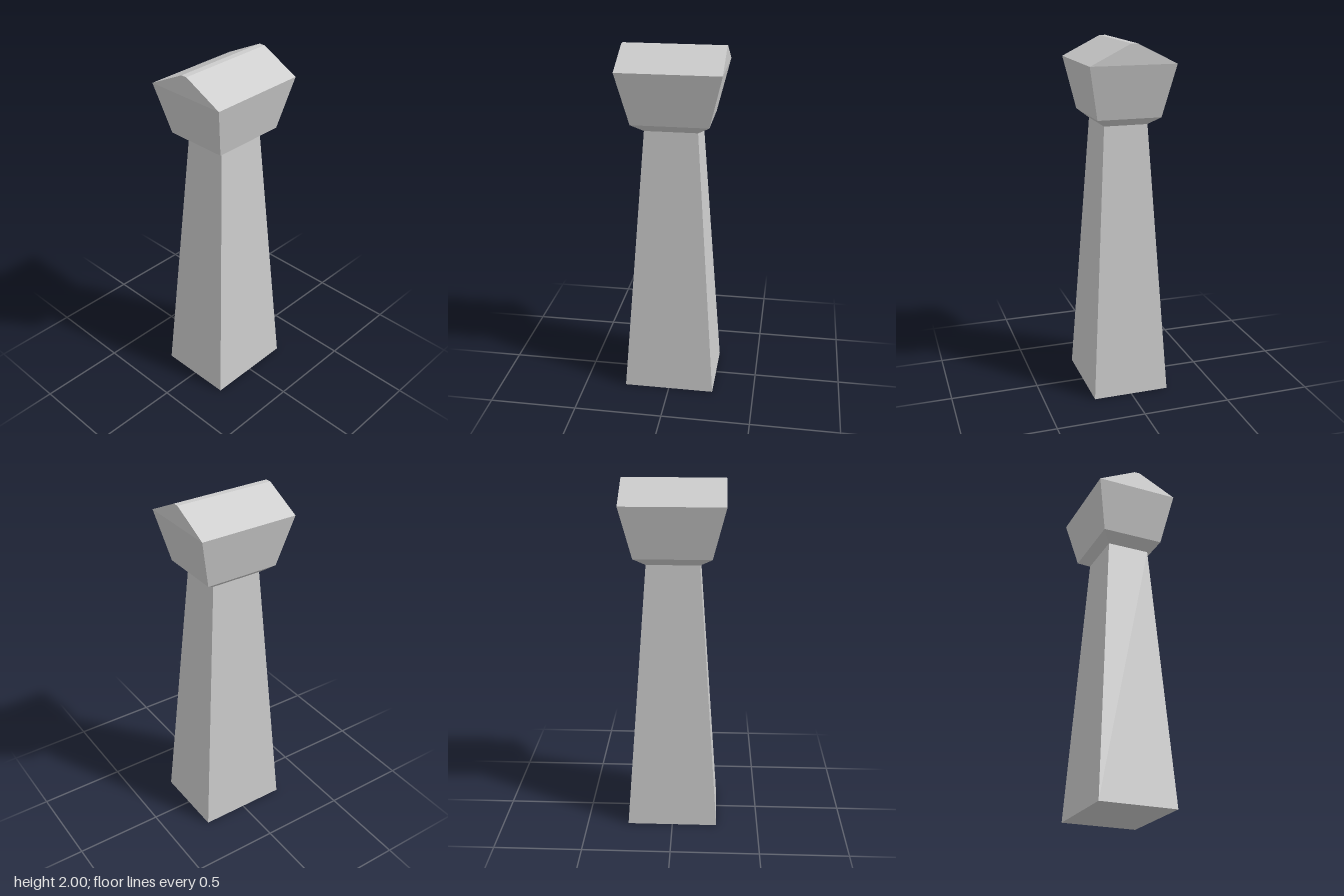
import * as THREE from 'three';

const material = new THREE.MeshStandardMaterial({ color: 0xcccccc, flatShading: true });

// Rectangular cross-sections from the ground up: [y, half width, half depth]
const base = [0, 0.26, 0.219];
const neck = [1.555, 0.147, 0.123];
const collarTop = [1.6, 0.213, 0.179];
const eaves = [1.89, 0.283, 0.238];
const ridge = [2, 0.283, 0.017];

// Four-sided solid between two rectangular sections, with optional end caps
function taperedBlock(name, lower, upper, { bottom = false, top = false } = {}) {
  const ring = ([y, w, d]) => [[-w, y, d], [w, y, d], [w, y, -d], [-w, y, -d]];
  const a = ring(lower);
  const b = ring(upper);
  const positions = [];
  const quad = (p, q, r, s) => positions.push(...p, ...q, ...r, ...p, ...r, ...s);

  for (let i = 0; i < 4; i++) {
    const j = (i + 1) % 4;
    quad(a[i], a[j], b[j], b[i]);
  }
  if (bottom) quad(a[3], a[2], a[1], a[0]);
  if (top) quad(b[0], b[1], b[2], b[3]);

  const geometry = new THREE.BufferGeometry();
  geometry.setAttribute('position', new THREE.Float32BufferAttribute(positions, 3));
  geometry.computeVertexNormals();
  const mesh = new THREE.Mesh(geometry, material);
  mesh.name = name;
  return mesh;
}

export function createModel() {
  const model = new THREE.Group();
  model.name = 'pillar';

  // Tall tapering shaft
  model.add(taperedBlock('shaft', base, neck, { bottom: true }));

  // Head: flared collar, outward-leaning block and pitched roof with a narrow flat ridge
  const head = new THREE.Group();
  head.name = 'head';
  head.add(
    taperedBlock('collar', neck, collarTop),
    taperedBlock('headBlock', collarTop, eaves),
    taperedBlock('roof', eaves, ridge, { top: true })
  );
  model.add(head);

  return model;
}
